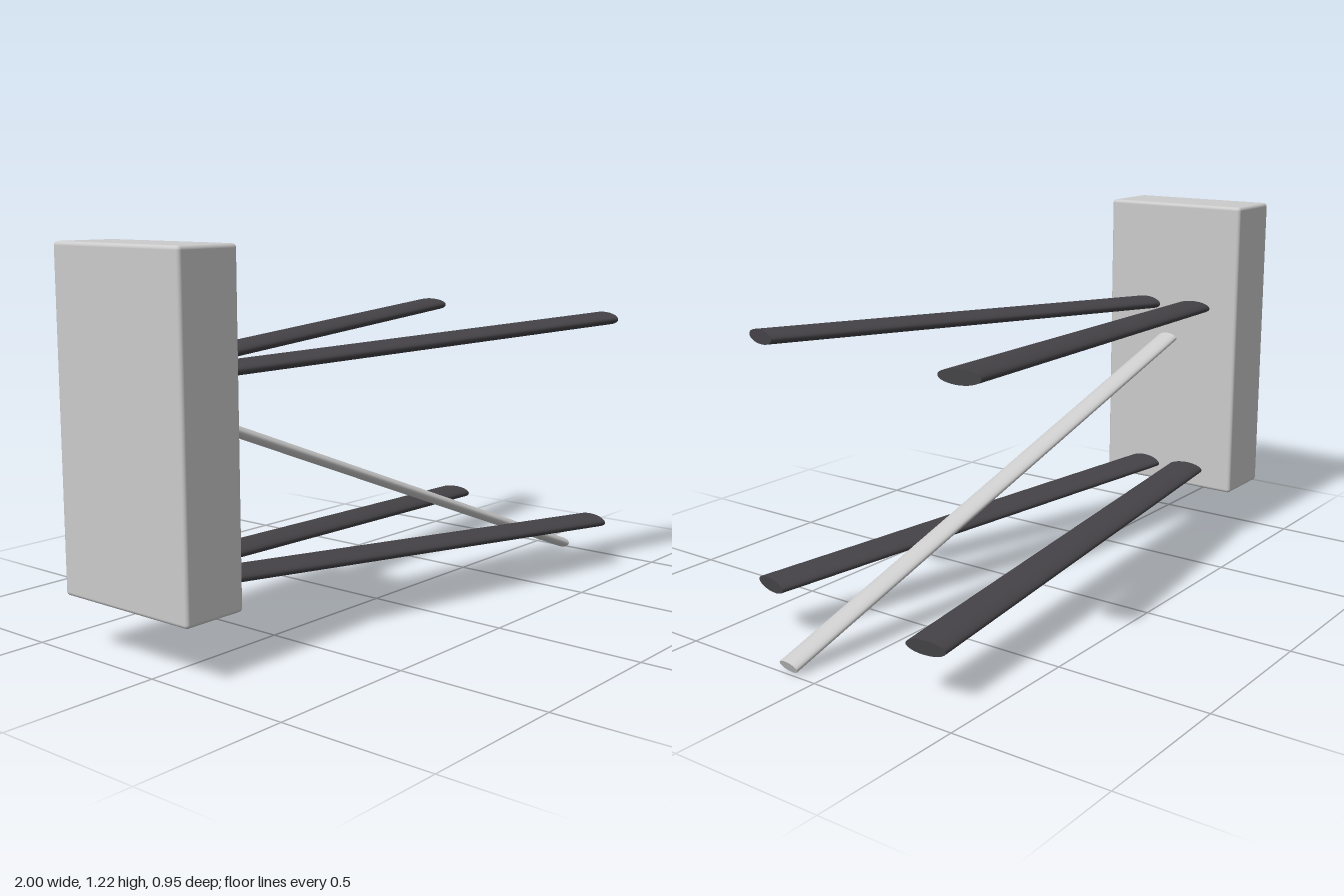
import * as THREE from 'three';
import { RoundedBoxGeometry } from 'three/addons/geometries/RoundedBoxGeometry.js';

const grey = new THREE.MeshStandardMaterial({ color: 0xcccccc });
const dark = new THREE.MeshStandardMaterial({ color: 0x444246 });

// Elliptical bar between two points, its wide axis kept horizontal
function ellipticalBar(name, from, to, width, thickness, material) {
  const a = new THREE.Vector3(...from);
  const b = new THREE.Vector3(...to);
  const along = b.clone().sub(a);
  const length = along.length();
  along.normalize();
  const up = new THREE.Vector3(0, 1, 0);
  const side = new THREE.Vector3().crossVectors(along, up).normalize();
  const normal = new THREE.Vector3().crossVectors(side, along);

  const geometry = new THREE.CylinderGeometry(1, 1, length, 32);
  geometry.scale(width / 2, 1, thickness / 2);
  geometry.applyMatrix4(new THREE.Matrix4().makeBasis(side, along, normal));
  const mesh = new THREE.Mesh(geometry, material);
  mesh.name = name;
  mesh.position.copy(a).add(b).multiplyScalar(0.5);
  return mesh;
}

export function createModel() {
  const group = new THREE.Group();
  group.name = 'bracketWithArms';

  // Upright block that carries the arms
  const block = new THREE.Mesh(new RoundedBoxGeometry(0.22, 1.045, 0.525, 4, 0.012), grey);
  block.name = 'mountingBlock';
  block.position.set(-0.89, 0.6975, -0.1125);
  group.add(block);

  // Four flat dark arms, splayed outward from the block face
  const arms = [
    ['upperFrontArm', [-0.78, 0.852, -0.01], [0.765, 0.92, 0.407]],
    ['upperBackArm', [-0.78, 0.852, -0.202], [0.84, 0.922, -0.413]],
    ['lowerFrontArm', [-0.78, 0.243, -0.02], [0.835, 0.17, 0.336]],
    ['lowerBackArm', [-0.78, 0.243, -0.192], [0.91, 0.168, -0.34]],
  ];
  for (const [name, from, to] of arms) {
    group.add(ellipticalBar(name, from, to, 0.134, 0.044, dark));
  }

  // Slim light strut running down between the arms
  group.add(ellipticalBar('diagonalStrut', [-0.785, 0.729, -0.098], [0.989, 0.018, 0.113], 0.08, 0.036, grey));

  return group;
}
